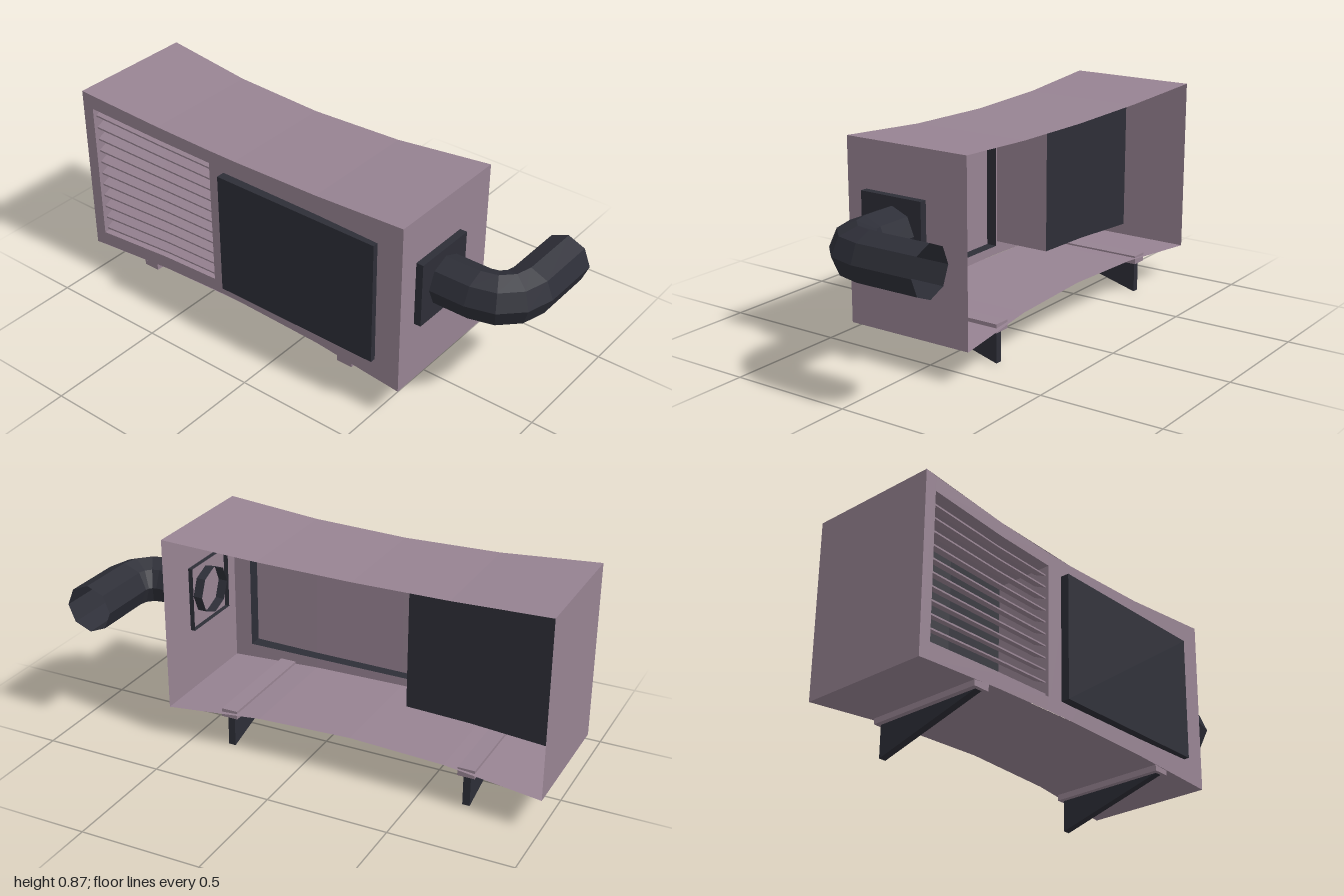
import * as THREE from 'three';

const mauve = new THREE.MeshStandardMaterial({ name: 'mauve', color: 0x978392, side: THREE.DoubleSide, flatShading: true });
const charcoal = new THREE.MeshStandardMaterial({ name: 'charcoal', color: 0x2d2e37, side: THREE.DoubleSide, flatShading: true });

const MID = -0.205, HALF = 0.795;
const XS = [-1, -0.6, -0.205, 0.19, 0.59];
const lerp = THREE.MathUtils.lerp;

// Pinched casing: v runs -1..1 bottom to top, w runs 0..1 back to front
function bodyPoint(x, v, w) {
  const k = ((x - MID) / HALF) ** 2;
  const y = 0.5 + v * lerp(0.328, 0.365, k);
  const z = lerp(lerp(-0.205, -0.246, k), lerp(0.286, 0.302, k), w);
  return [x, y, z];
}

// Quads given as four corners, counter-clockwise from outside
function quadMesh(name, quads, material) {
  const positions = [];
  for (const [a, b, c, d] of quads) positions.push(...a, ...b, ...c, ...a, ...c, ...d);
  const geometry = new THREE.BufferGeometry();
  geometry.setAttribute('position', new THREE.Float32BufferAttribute(positions, 3));
  geometry.computeVertexNormals();
  const mesh = new THREE.Mesh(geometry, material);
  mesh.name = name;
  return mesh;
}

// Strip of quads along x between two (v, w) edges
function strip(xs, [v0, w0], [v1, w1]) {
  const quads = [];
  for (let i = 0; i < xs.length - 1; i++) {
    quads.push([bodyPoint(xs[i], v0, w0), bodyPoint(xs[i + 1], v0, w0),
      bodyPoint(xs[i + 1], v1, w1), bodyPoint(xs[i], v1, w1)]);
  }
  return quads;
}

// Flat wall across the casing at one x
function wall(x, v, w0, w1) {
  const quad = [bodyPoint(x, -v, w0), bodyPoint(x, -v, w1), bodyPoint(x, v, w1), bodyPoint(x, v, w0)];
  return x < MID ? quad : quad.reverse();
}

function box(name, min, max, material) {
  const size = max.map((m, i) => m - min[i]);
  const mesh = new THREE.Mesh(new THREE.BoxGeometry(...size), material);
  mesh.position.set(...max.map((m, i) => (m + min[i]) / 2));
  mesh.name = name;
  return mesh;
}

// Box with one face left out, in BoxGeometry face order
function openBox(name, min, max, material, openFace) {
  const mesh = box(name, min, max, material);
  const index = Array.from(mesh.geometry.index.array);
  index.splice(openFace * 6, 6);
  mesh.geometry.setIndex(index);
  mesh.geometry.clearGroups();
  return mesh;
}

// Octagonal elbow pipe, built from rings along a bent path
function elbowPipe() {
  const cx = 0.77, cz = -0.06, bend = 0.13, radius = 0.1, sides = 8;
  const stations = [[0.55, cz + bend, 0]];
  for (let i = 0; i <= 3; i++) {
    const a = (i / 3) * Math.PI / 2;
    stations.push([cx + Math.sin(a) * bend, cz + Math.cos(a) * bend, a]);
  }
  stations.push([cx + bend, -0.322, Math.PI / 2]);
  const rings = stations.map(([x, z, a]) => Array.from({ length: sides }, (_, j) => {
    const t = (j / sides) * Math.PI * 2;
    const out = Math.cos(t) * radius;
    return [x + Math.sin(a) * out, 0.54 + Math.sin(t) * radius, z + Math.cos(a) * out];
  }));
  const quads = [];
  for (let i = 0; i < rings.length - 1; i++) {
    for (let j = 0; j < sides; j++) {
      const n = (j + 1) % sides;
      quads.push([rings[i][j], rings[i + 1][j], rings[i + 1][n], rings[i][n]]);
    }
  }
  return quadMesh('elbowPipe', quads, charcoal);
}

export function createModel() {
  const model = new THREE.Group();
  model.name = 'airUnit';

  // Casing, open at the back
  model.add(quadMesh('casing', [
    ...strip(XS, [1, 1], [1, 0]),
    ...strip(XS, [-1, 0], [-1, 1]),
    wall(-1, 1, 0, 1), wall(0.59, 1, 0, 1),
  ], mauve));

  // Front wall with the louvre opening
  const L = -0.95, R = -0.335, V = 0.83;
  const louvreXs = [L, -0.6, R];
  model.add(quadMesh('frontWall', [
    ...strip([-1, L], [-1, 1], [1, 1]),
    ...strip(louvreXs, [-1, 1], [-V, 1]),
    ...strip(louvreXs, [V, 1], [1, 1]),
    ...strip([R, ...XS.slice(2)], [-1, 1], [1, 1]),
  ], mauve));

  // Recess behind the louvres
  const depth = 0.49;
  model.add(quadMesh('recessWalls', [
    ...strip(louvreXs, [V, 1], [V, depth]),
    ...strip(louvreXs, [-V, depth], [-V, 1]),
    wall(L, V, depth, 1), wall(R, V, depth, 1),
  ], mauve));
  model.add(quadMesh('recessBack', strip(louvreXs, [V, depth], [-V, depth]), charcoal));

  // Sloping slats
  const slats = new THREE.Group();
  slats.name = 'louvreSlats';
  const count = 11, pitch = 2 * V / count, thick = 0.02;
  for (let i = 0; i < count; i++) {
    const low = -V + pitch * (i + 0.2), high = low + pitch * 0.5;
    const section = [[low, 0.97], [high, 0.86], [high + thick, 0.86], [low + thick, 0.97]];
    const quads = section.flatMap((p, j) => strip(louvreXs, section[(j + 1) % 4], p));
    slats.add(quadMesh('slat', quads, mauve));
  }
  model.add(slats);

  // Raised front panel, hollow behind
  model.add(openBox('frontPanel', [-0.262, 0.233, 0.24], [0.478, 0.757, 0.322], charcoal, 5));

  // Side flange and pipe
  model.add(openBox('pipeFlange', [0.57, 0.403, -0.062], [0.62, 0.675, 0.215], charcoal, 1));
  model.add(elbowPipe());

  // Mounting brackets with wedge feet
  const wedge = new THREE.Shape([[0.28, 0.132], [-0.195, 0.132], [-0.195, 0]].map(([z, y]) => new THREE.Vector2(-z, y)));
  for (const x of [-0.69, 0.33]) {
    const bracket = new THREE.Group();
    bracket.name = 'bracket';
    bracket.add(box('bracketRail', [x - 0.035, 0.131, -0.21], [x + 0.035, 0.166, 0.292], mauve));
    const geometry = new THREE.ExtrudeGeometry(wedge, { depth: 0.03, bevelEnabled: false });
    geometry.translate(0, 0, -0.015).rotateY(Math.PI / 2);
    const foot = new THREE.Mesh(geometry, charcoal);
    foot.name = 'wedgeFoot';
    foot.position.x = x;
    bracket.add(foot);
    model.add(bracket);
  }
  return model;
}
